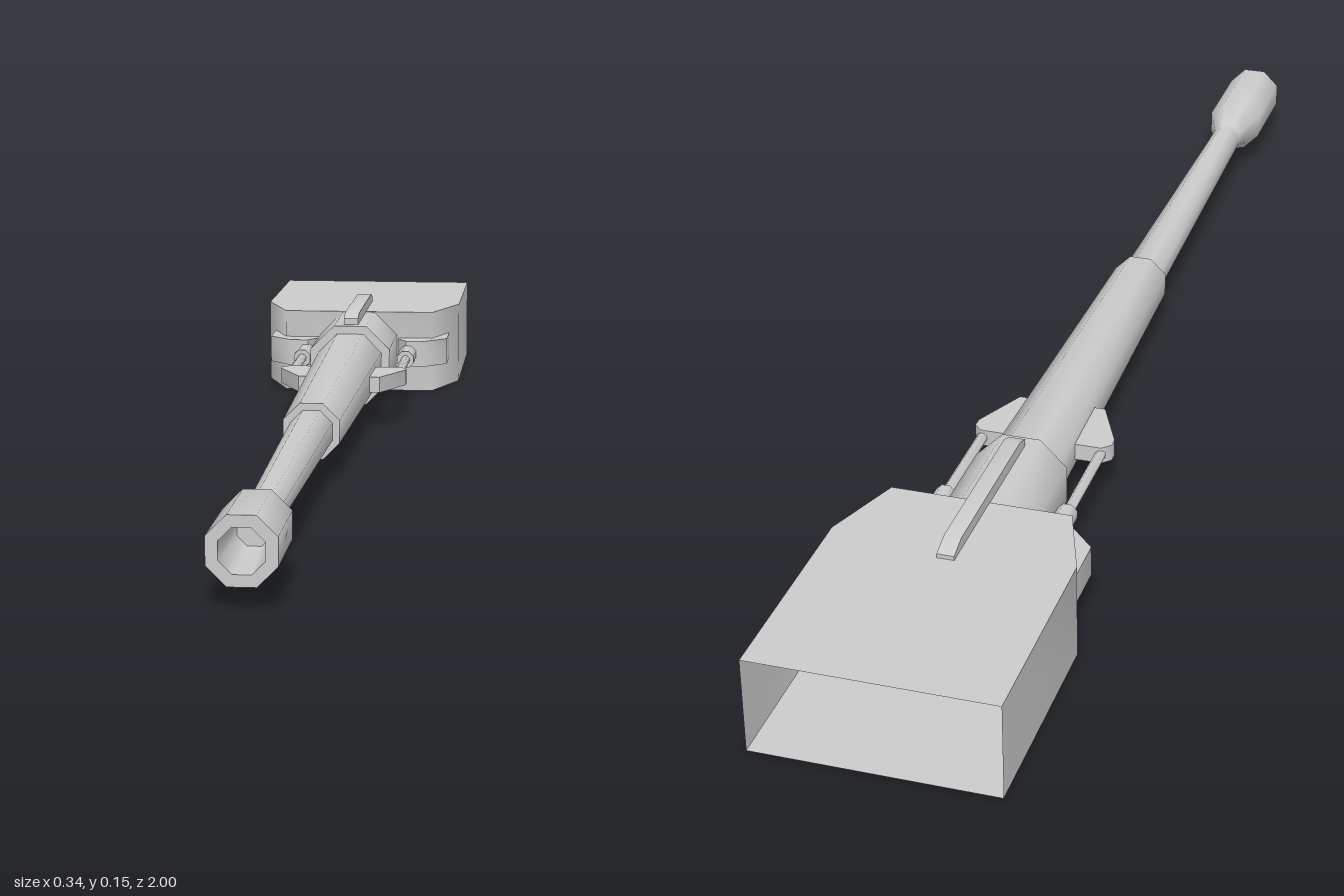
import * as THREE from 'three';
import { toCreasedNormals } from 'three/addons/utils/BufferGeometryUtils.js';

const AXIS_Y = 0.07;
const material = new THREE.MeshStandardMaterial({ color: 0xcccccc, side: THREE.DoubleSide });

function part(name, geometry, crease = 0.9) {
  const mesh = new THREE.Mesh(toCreasedNormals(geometry, crease), material);
  mesh.name = name;
  return mesh;
}

// Eight-sided turned part along z; profile holds [half-width across flats, z]
function turned(name, profile, x = 0) {
  const points = profile.map(([r, z]) => new THREE.Vector2(r / Math.cos(Math.PI / 8), z));
  const geometry = new THREE.LatheGeometry(points, 8, Math.PI / 8);
  geometry.rotateX(Math.PI / 2).translate(x, AXIS_Y, 0);
  return part(name, geometry);
}

function planShape(points) {
  return new THREE.Shape(points.map(([x, z]) => new THREE.Vector2(x, -z)));
}

// Plan outline [x, z] raised from y0 to y1
function slab(name, points, y0, y1) {
  const geometry = new THREE.ExtrudeGeometry(planShape(points), { depth: y1 - y0, bevelEnabled: false });
  geometry.rotateX(-Math.PI / 2).translate(0, y0, 0);
  return part(name, geometry);
}

// Hollow housing, open at the rear
function createHousing() {
  const height = 0.137;
  const plan = [[0.168, -1], [0.168, -0.69], [0.127, -0.575], [-0.127, -0.575], [-0.168, -0.69], [-0.168, -1]];
  const housing = new THREE.Group();
  housing.name = 'housing';

  const position = [], index = [];
  plan.forEach(([x, z], i) => {
    position.push(x, 0, z, x, height, z);
    if (i < plan.length - 1) {
      const a = i * 2;
      index.push(a, a + 3, a + 2, a, a + 1, a + 3);
    }
  });
  const walls = new THREE.BufferGeometry();
  walls.setAttribute('position', new THREE.Float32BufferAttribute(position, 3));
  // Reverse winding so the walls face outwards
  walls.setIndex(index.reverse());
  housing.add(part('housingWalls', walls, 1.3));

  const top = new THREE.ShapeGeometry(planShape(plan));
  top.rotateX(-Math.PI / 2).translate(0, height, 0);
  housing.add(part('housingTop', top));
  const bottom = new THREE.ShapeGeometry(planShape(plan));
  bottom.rotateX(Math.PI / 2).scale(1, 1, -1);
  // Mirroring flips the faces, so restore their order
  bottom.setIndex(Array.from(bottom.index.array).reverse());
  housing.add(part('housingBottom', bottom));
  return housing;
}

export function createModel() {
  const model = new THREE.Group();
  model.name = 'cannon';
  model.add(createHousing());

  // Barrel sections from the housing to the muzzle
  model.add(turned('collar', [[0, -0.6], [0.066, -0.6], [0.066, -0.4], [0, -0.4]]));
  model.add(turned('barrelSleeve', [[0.053, -0.42], [0.041, 0.22], [0, 0.22]]));
  model.add(turned('barrel', [[0.031, 0.2], [0.022, 0.8]]));
  model.add(turned('muzzle', [
    [0.022, 0.785], [0.024, 0.8], [0.043, 0.85], [0.043, 1], [0.028, 1], [0.021, 0.88], [0, 0.88],
  ]));

  // Raised rail with sloping ends
  const side = new THREE.Shape([[0.42, 0.125], [0.42, 0.146], [0.44, 0.153], [0.69, 0.153], [0.72, 0.143], [0.72, 0.125]]
    .map(([z, y]) => new THREE.Vector2(z, y)));
  const rail = new THREE.ExtrudeGeometry(side, { depth: 0.024, bevelEnabled: false });
  rail.rotateY(Math.PI / 2).translate(-0.012, 0, 0);
  model.add(part('topRail', rail));

  // Recoil rods with their mounts, one pair on each side
  for (const s of [1, -1]) {
    const mirror = (points) => points.map(([x, z]) => [x * s, z]);
    const assembly = new THREE.Group();
    assembly.name = s > 0 ? 'leftRecoilRod' : 'rightRecoilRod';
    assembly.add(slab('rearMount', mirror([
      [0.07, -0.65], [0.153, -0.65], [0.153, -0.575], [0.115, -0.535], [0.085, -0.535], [0.07, -0.56],
    ]), 0.048, 0.092));
    assembly.add(turned('rodCylinder', [[0, -0.55], [0.014, -0.55], [0.014, -0.47], [0, -0.47]], s * 0.088));
    assembly.add(turned('rod', [[0.007, -0.5], [0.007, -0.3]], s * 0.088));
    assembly.add(slab('frontMount', mirror([
      [0.04, -0.312], [0.09, -0.312], [0.102, -0.3], [0.102, -0.285], [0.065, -0.205], [0.04, -0.205],
    ]), 0.057, 0.082));
    model.add(assembly);
  }
  return model;
}
